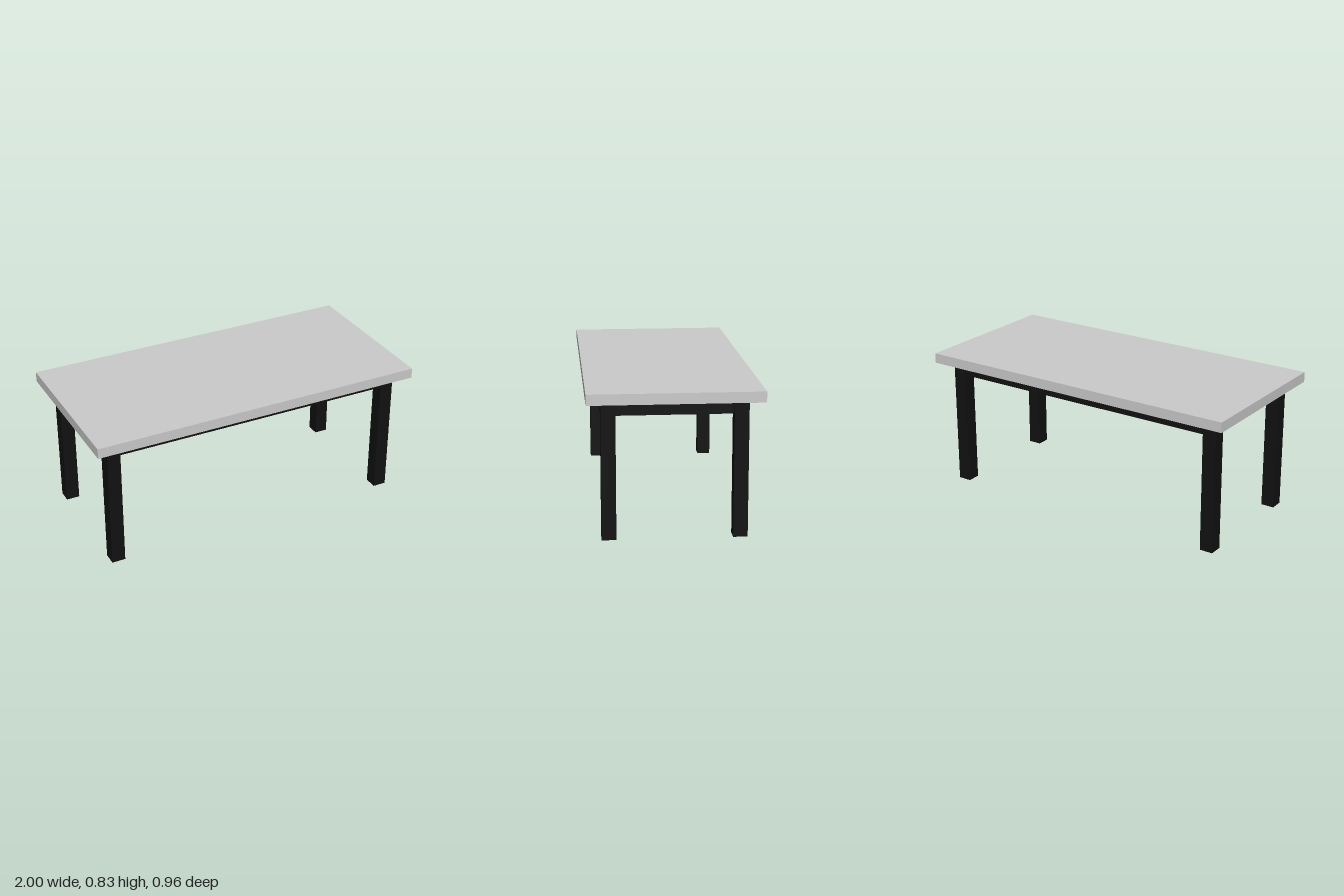
import * as THREE from 'three';

const TOP = { width: 2, depth: 0.96, bottom: 0.77, height: 0.06 };
const LEG = 0.08;              // square leg section
const LEG_X = 0.88, LEG_Z = 0.36; // leg centres
const RAIL_HEIGHT = 0.08, RAIL_THICKNESS = 0.04;

export function createModel() {
  const group = new THREE.Group();
  group.name = 'table';

  const grey = new THREE.MeshStandardMaterial({ color: 0xcccccc });
  const black = new THREE.MeshStandardMaterial({ color: 0x111111 });

  const addBox = (name, material, [w, h, d], [x, y, z]) => {
    const mesh = new THREE.Mesh(new THREE.BoxGeometry(w, h, d), material);
    mesh.name = name;
    mesh.position.set(x, y, z);
    group.add(mesh);
  };

  // Table top
  addBox('tableTop', grey, [TOP.width, TOP.height, TOP.depth],
    [0, TOP.bottom + TOP.height / 2, 0]);

  // Four square legs
  for (const [sideName, sx] of [['Left', 1], ['Right', -1]]) {
    for (const [endName, sz] of [['front', 1], ['back', -1]]) {
      addBox(`${endName}${sideName}Leg`, black, [LEG, TOP.bottom, LEG],
        [sx * LEG_X, TOP.bottom / 2, sz * LEG_Z]);
    }
  }

  // Apron rails, thinner than the legs and centred between them
  const railY = TOP.bottom - RAIL_HEIGHT / 2;
  for (const [name, s] of [['front', 1], ['back', -1]]) {
    addBox(`${name}Rail`, black, [2 * LEG_X - LEG, RAIL_HEIGHT, RAIL_THICKNESS],
      [0, railY, s * LEG_Z]);
  }
  for (const [name, s] of [['left', 1], ['right', -1]]) {
    addBox(`${name}Rail`, black, [RAIL_THICKNESS, RAIL_HEIGHT, 2 * LEG_Z - LEG],
      [s * LEG_X, railY, 0]);
  }

  return group;
}
